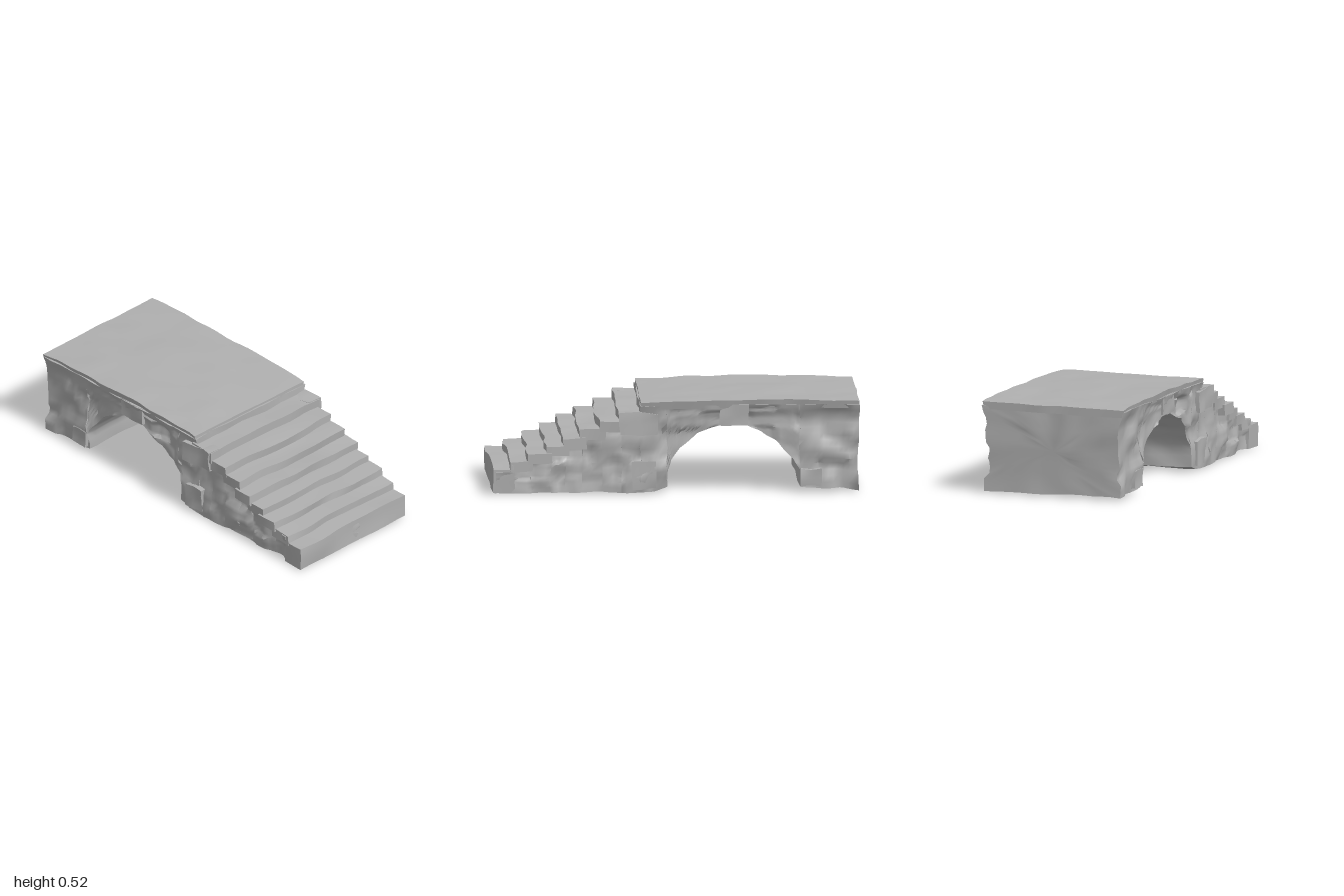
import * as THREE from 'three';
import { toCreasedNormals } from 'three/addons/utils/BufferGeometryUtils.js';

const stone = new THREE.MeshStandardMaterial({ color: 0xb0b0b0 });

// Seeded value noise in -1..1
function hash(i, j, k) {
  const s = Math.sin(i * 127.1 + j * 311.7 + k * 74.7) * 43758.5453;
  return (s - Math.floor(s)) * 2 - 1;
}
function noise(x, y, z) {
  const i = Math.floor(x), j = Math.floor(y), k = Math.floor(z);
  const f = [x - i, y - j, z - k].map(t => t * t * (3 - 2 * t));
  let sum = 0;
  for (let c = 0; c < 8; c++) {
    const a = c & 1, b = (c >> 1) & 1, d = c >> 2;
    sum += hash(i + a, j + b, k + d) *
      (a ? f[0] : 1 - f[0]) * (b ? f[1] : 1 - f[1]) * (d ? f[2] : 1 - f[2]);
  }
  return sum;
}

// Shift every vertex by noise so the surface looks hewn; seams stay closed
function roughen(geo, ax, ay, az, freq = 9) {
  const p = geo.attributes.position;
  for (let i = 0; i < p.count; i++) {
    const x = p.getX(i), y = p.getY(i), z = p.getZ(i);
    const n = s => noise(x * freq + s, y * freq + s, z * freq + s);
    p.setXYZ(i, x + ax * n(3.3), Math.max(0, y + ay * n(17.7)), z + az * n(41.1));
  }
  return geo;
}
function add(group, name, geo, crease) {
  const mesh = new THREE.Mesh(toCreasedNormals(geo, crease), stone);
  mesh.name = name;
  group.add(mesh);
}
function block(x0, x1, y0, y1, z0, z1, seg) {
  const g = new THREE.BoxGeometry(x1 - x0, y1 - y0, z1 - z0, ...seg);
  return g.translate((x0 + x1) / 2, (y0 + y1) / 2, (z0 + z1) / 2);
}

// Right edge and top height of each step, from the deck down
const steps = [[0.31, 0.445], [0.42, 0.395], [0.52, 0.35], [0.61, 0.305],
  [0.70, 0.26], [0.80, 0.22], [0.90, 0.18], [0.995, 0.14]];

// Underside: pier foot, arch, stair foot
const under = [[-0.985, 0.015], [-0.8, 0.015], [-0.67, 0.028], [-0.67, 0.12], [-0.63, 0.185],
  [-0.55, 0.275], [-0.46, 0.338], [-0.38, 0.368], [-0.24, 0.37], [-0.12, 0.325],
  [-0.02, 0.25], [0.03, 0.18], [0.05, 0.12], [0.05, 0.028], [0.12, 0.008], [0.19, 0.006]];

// Stations [x, bottom, top, scale]; the scale closes both ends towards a point
function makeStations() {
  const out = [], ends = [0, 0.25, 0.5, 0.75], deckLow = 0.482;
  for (const s of ends) out.push([-0.985, 0.015, deckLow, s]);
  under.forEach(([x, y], i) => {
    if (i) {
      const [px, py] = under[i - 1];
      const n = Math.max(1, Math.round(Math.hypot(x - px, y - py) / 0.028));
      for (let k = 1; k < n; k++) {
        out.push([px + (x - px) * k / n, py + (y - py) * k / n, deckLow, 1]);
      }
    }
    out.push([x, y, deckLow, 1]);
  });
  let x0 = 0.19;
  for (const [x1, top] of steps) {
    const end = x1 - 0.015;
    for (let k = 0; k <= 4; k++) out.push([x0 + (end - x0) * k / 4, 0.006, top - 0.015, 1]);
    x0 = end;
  }
  for (const s of ends.reverse()) out.push([x0, 0.006, 0.125, s]);
  return out;
}

// Half width of the body: coursed stones at uneven depth, flaring under the deck
function halfWidth(x, y, s) {
  const row = Math.floor((y + 0.012 * noise(x * 7, 2, s)) / 0.088);
  const col = Math.floor((x + 0.07 * hash(row, 3, s)) / 0.125);
  const flare = x < 0.2 ? Math.max(0, (y - 0.41) / 0.07) : 0;
  return 0.382 + 0.026 * Math.min(1, flare) +
    (1 - 0.7 * Math.min(1, flare)) * (0.015 * hash(row, col, s) + 0.013 * noise(x * 11, y * 12, s * 7.3));
}

// Masonry body: rectangular sections lofted along x
function bodyGeometry() {
  const st = makeStations(), V = 14, W = 14, ring = 2 * (V + W), pos = [], idx = [];
  for (const [x, b, t, scale] of st) {
    const at = (u, v) => { // u runs from +z to -z, v upwards
      const y = b + (t - b) * v, mid = (b + t) / 2;
      const z = halfWidth(x, y, 1) * (1 - u) - halfWidth(x, y, -1) * u;
      pos.push(x, mid + (y - mid) * scale, z * scale);
    };
    for (let k = 0; k < V; k++) at(0, k / V);
    for (let k = 0; k < W; k++) at(k / W, 1);
    for (let k = 0; k < V; k++) at(1, 1 - k / V);
    for (let k = 0; k < W; k++) at(1 - k / W, 0);
  }
  for (let i = 0; i < st.length - 1; i++) for (let j = 0; j < ring; j++) {
    const j1 = (j + 1) % ring, a = i * ring, b = a + ring;
    idx.push(a + j, b + j, b + j1, a + j, b + j1, a + j1);
  }
  const g = new THREE.BufferGeometry();
  g.setAttribute('position', new THREE.Float32BufferAttribute(pos, 3));
  g.setIndex(idx);
  return roughen(g, 0.013, 0.009, 0.006, 10);
}

export function createModel() {
  const model = new THREE.Group();
  model.name = 'stoneBridge';
  add(model, 'archedBody', bodyGeometry(), 1.0);

  // Thin, gently crowned deck slab
  const deck = block(-0.993, 0.187, 0.455, 0.498, -0.408, 0.408, [24, 1, 16]);
  const p = deck.attributes.position;
  for (let i = 0; i < p.count; i++) {
    const u = (p.getX(i) + 0.4) / 0.6;
    p.setY(i, p.getY(i) + 0.014 * Math.max(0, 1 - u * u));
    if (p.getY(i) < 0.48) p.setZ(i, p.getZ(i) * 0.975);
  }
  add(model, 'deck', roughen(deck, 0.006, 0.005, 0.012, 8), 1.0);

  // Stair treads with wavy edges
  const stairs = new THREE.Group();
  stairs.name = 'stairs';
  model.add(stairs);
  let prev = 0.19;
  steps.forEach(([x, top], i) => {
    const low = i < steps.length - 1 ? steps[i + 1][1] - 0.015 : 0.008;
    const w = 0.4 + 0.008 * hash(i, 2, 5);
    const seg = [3, i < steps.length - 1 ? 1 : 4, 14];
    add(stairs, 'tread' + (i + 1),
      roughen(block(prev - 0.03, x, low, top, -w, w, seg), 0.013, 0.007, 0.008, 7), 1.0);
    prev = x;
  });

  // Larger stones standing proud of both side faces: [x0, x1, y0, y1, z]
  const stones = [[-0.39, -0.23, 0.38, 0.485, 0.402], [0.1, 0.305, 0.325, 0.44, 0.416],
    [0.11, 0.24, 0.03, 0.17, 0.402], [-0.78, -0.675, 0.035, 0.13, 0.402]];
  const facing = new THREE.Group();
  facing.name = 'facingStones';
  model.add(facing);
  for (const s of [1, -1]) stones.forEach(([x0, x1, y0, y1, z], i) => {
    const g = block(x0, x1, y0, y1, s > 0 ? 0.33 : -z, s > 0 ? z : -0.33, [4, 4, 2]);
    add(facing, (s > 0 ? 'frontStone' : 'backStone') + (i + 1),
      roughen(g, 0.012, 0.012, 0.012, 12), 1.0);
  });
  return model;
}
